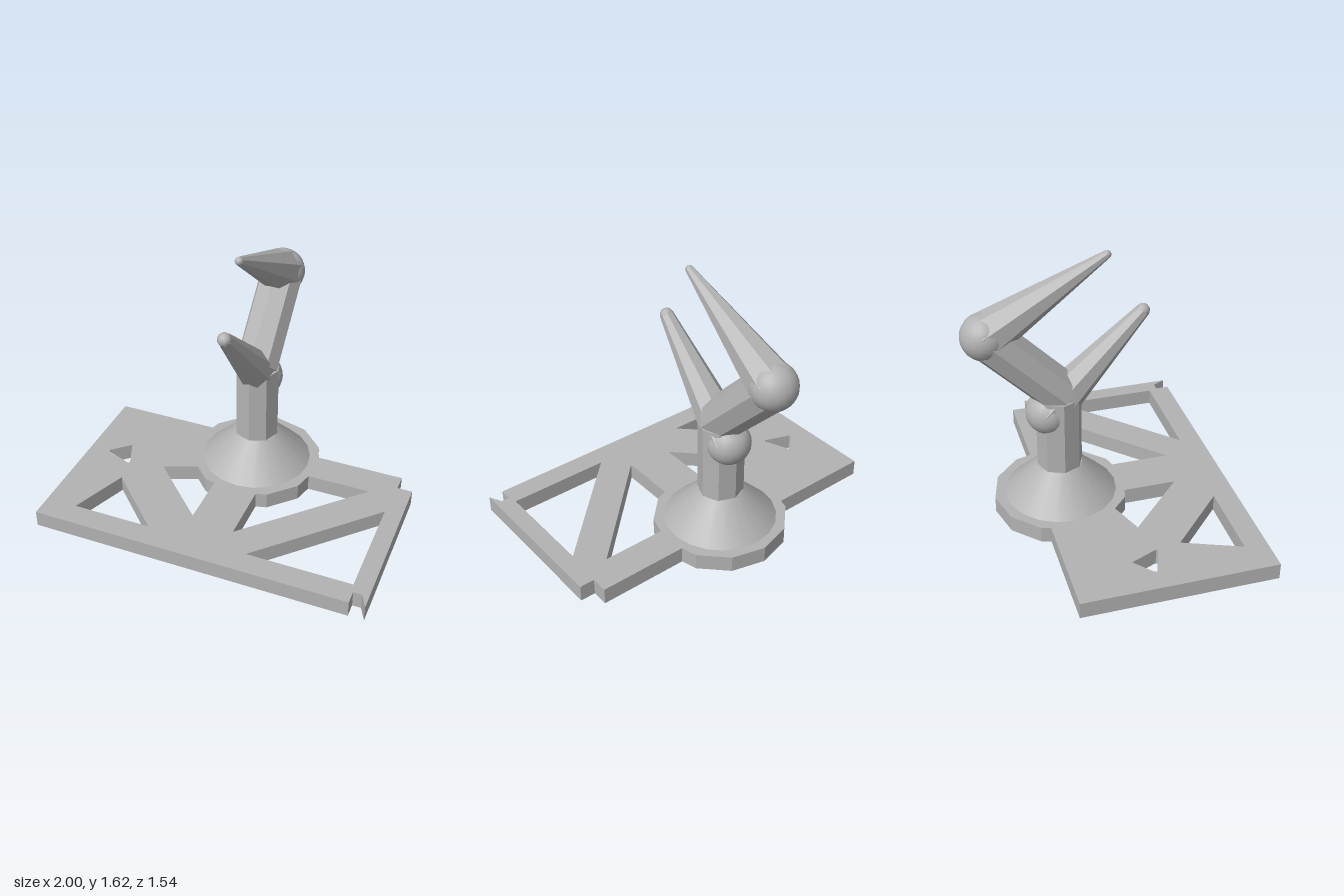
import * as THREE from 'three';

const grey = new THREE.MeshStandardMaterial({ color: 0xb2b2b2 });
const greyFlat = new THREE.MeshStandardMaterial({ color: 0xb2b2b2, flatShading: true });
const POST_Z = -0.225;

function add(parent, name, geometry, material, x = 0, y = 0, z = 0) {
  const mesh = new THREE.Mesh(geometry, material);
  mesh.name = name;
  mesh.position.set(x, y, z);
  parent.add(mesh);
  return mesh;
}

// Faceted, optionally tapered bar between two [y, z] points
function bar(parent, name, from, to, r0, r1, turn = 0) {
  const a = new THREE.Vector3(0, ...from);
  const b = new THREE.Vector3(0, ...to);
  const dir = b.clone().sub(a);
  const geometry = new THREE.CylinderGeometry(r1, r0, dir.length(), 8);
  geometry.rotateY(turn);
  const mid = a.add(b).multiplyScalar(0.5);
  const mesh = add(parent, name, geometry, greyFlat, mid.x, mid.y, mid.z);
  mesh.quaternion.setFromUnitVectors(new THREE.Vector3(0, 1, 0), dir.normalize());
}

// Tapered finger with a round joint and a round tip
function finger(parent, name, from, to, r0, r1) {
  const group = new THREE.Group();
  group.name = name;
  bar(group, name + 'Shaft', from, to, r0, r1, Math.PI / 8);
  add(group, name + 'Joint', new THREE.SphereGeometry(r0 * 0.99, 20, 14), grey, 0, ...from);
  add(group, name + 'Tip', new THREE.SphereGeometry(r1 * 0.97, 14, 10), grey, 0, ...to);
  parent.add(group);
}

// Corner lists are [x, z]
const outline = [
  [-1, 0.77], [0.91, 0.77], [0.91, 0.69], [0.96, 0.69], [1, 0.77], [1, -0.23],
  [0.91, -0.23], [0.91, -0.33], [0, -0.33], [0, -0.37], [-1, -0.37],
];
const cutouts = [
  [[0.135, -0.135], [0.76, -0.135], [0.135, 0.495]],
  [[0.895, 0.005], [0.895, 0.635], [0.27, 0.635]],
  [[-0.135, -0.025], [-0.135, 0.455], [-0.49, 0.11]],
  [[-0.68, 0.3], [-0.335, 0.635], [-0.81, 0.635]],
  [[-0.765, -0.01], [-0.7, 0.15], [-0.71, 0.16], [-0.87, 0.1], [-0.87, 0.085]],
];

export function createModel() {
  const model = new THREE.Group();
  model.name = 'hookStand';

  // Base plate with triangular openings
  const points = (list) => list.map(([x, z]) => new THREE.Vector2(x, -z));
  const shape = new THREE.Shape(points(outline));
  for (const hole of cutouts) shape.holes.push(new THREE.Path(points(hole)));
  const plate = new THREE.ExtrudeGeometry(shape, { depth: 0.1, bevelEnabled: false });
  plate.rotateX(-Math.PI / 2);
  add(model, 'basePlate', plate, greyFlat);

  // Round foot, flared collar and post
  add(model, 'foot', new THREE.CylinderGeometry(0.4, 0.4, 0.1, 12), greyFlat, 0, 0.05, POST_Z);
  add(model, 'collar', new THREE.CylinderGeometry(0.133, 0.335, 0.2, 20), grey, 0, 0.2, POST_Z);
  bar(model, 'post', [0.29, POST_Z], [0.76, POST_Z], 0.135, 0.135);

  // Backward-leaning arm and the two forward fingers
  bar(model, 'arm', [0.77, -0.205], [1.2, -0.63], 0.13, 0.13);
  finger(model, 'lowerFinger', [0.658, -0.288], [1.235, 0.27], 0.133, 0.041);
  finger(model, 'upperFinger', [1.2, -0.63], [1.6, 0.06], 0.137, 0.024);

  return model;
}
